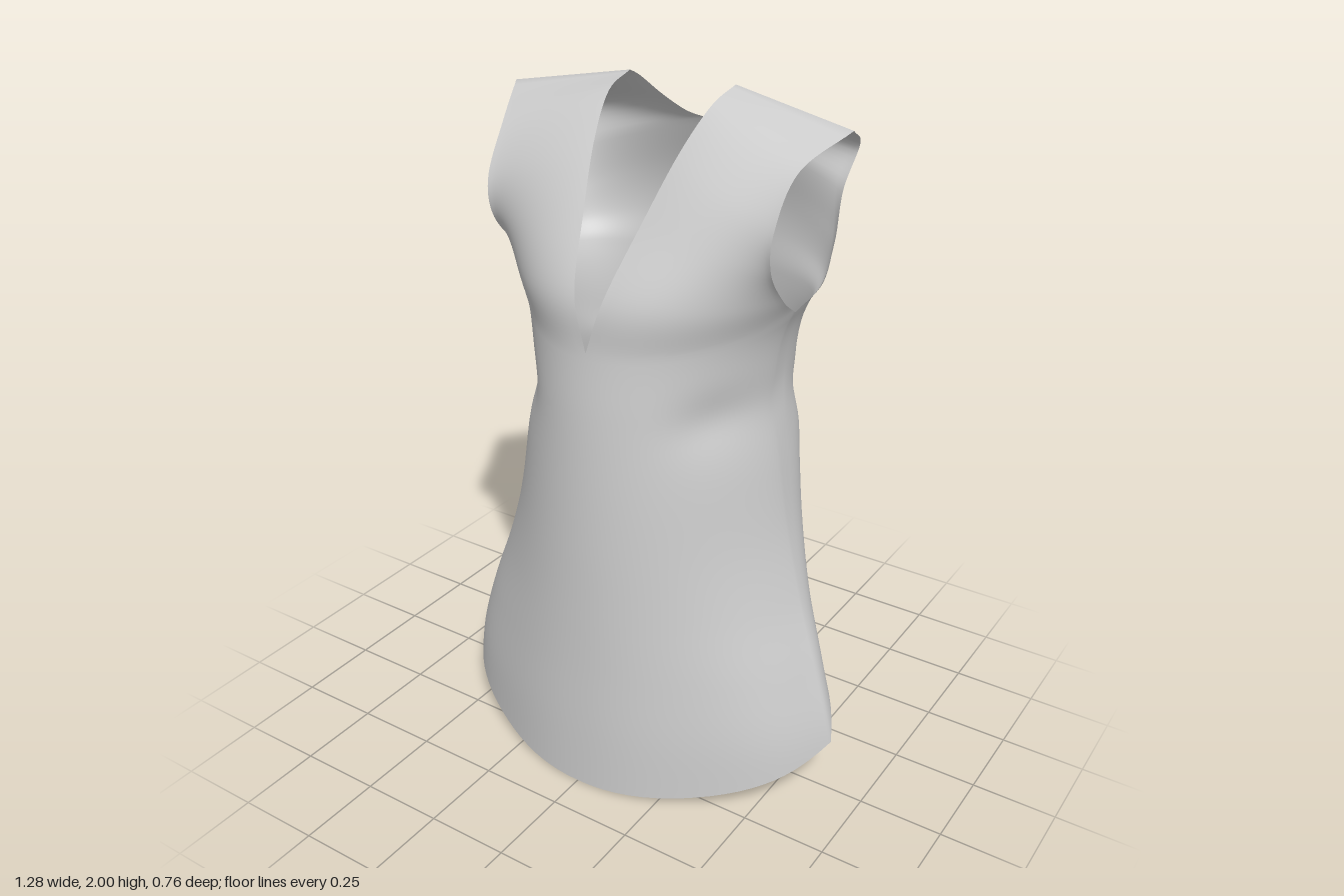
import * as THREE from 'three';
import { mergeGeometries, mergeVertices } from 'three/addons/utils/BufferGeometryUtils.js';

const V = (x, y, z) => new THREE.Vector3(x, y, z);
const curve = pts => new THREE.CatmullRomCurve3(pts.map(p => V(...p)), false, 'catmullrom', 0.5);
const bump = (x, centre, width) => Math.exp(-(((x - centre) / width) ** 2));
const { smoothstep: smooth, lerp } = THREE.MathUtils;

const QUARTER = 24; // columns per quarter turn

// [half width, front z, back z] every 0.2 of height
const rings = curve([
  [0.66, 0.385, -0.33], [0.635, 0.38, -0.33], [0.575, 0.372, -0.34],
  [0.5, 0.366, -0.35], [0.44, 0.36, -0.37], [0.402, 0.35, -0.368],
  [0.375, 0.335, -0.355], [0.395, 0.312, -0.35], [0.5, 0.3, -0.34],
]);

// Neck and armhole edges, from the chest or back up to the shoulder line
const frontNeck = curve([[0, 1.37, 0.32], [0.045, 1.52, 0.3], [0.09, 1.7, 0.19],
  [0.13, 1.86, 0.08], [0.158, 1.965, -0.03], [0.165, 2, -0.14]]);
const frontArm = curve([[0.425, 1.46, -0.04], [0.435, 1.52, 0.05], [0.44, 1.62, 0.135],
  [0.445, 1.73, 0.14], [0.458, 1.86, 0.05], [0.525, 1.938, -0.1]]);
const backArm = curve([[0.425, 1.46, -0.04], [0.435, 1.5, -0.16], [0.43, 1.6, -0.235],
  [0.425, 1.73, -0.275], [0.45, 1.85, -0.305], [0.525, 1.938, -0.1]]);
// The back edge turns a corner from the centre line into the neckline
const backNeck = new THREE.CurvePath();
backNeck.add(curve([[0, 1.46, -0.35], [0, 1.68, -0.335], [0, 1.865, -0.275]]));
backNeck.add(curve([[0, 1.865, -0.275], [0.06, 1.88, -0.262], [0.115, 1.925, -0.225],
  [0.155, 1.98, -0.175], [0.165, 2, -0.14]]));

// Point on the body tube; angle 0 is the front, v runs from hem to underarm
function body(angle, v) {
  const s = Math.sin(angle), c = Math.cos(angle), front = c >= 0, a = Math.abs(c);
  const hem = front ? 0.17 * (1 - a ** 1.4) : 0.17 + 0.39 * a ** 0.9;
  const top = front ? 1.46 - 0.09 * a : 1.46;
  const y = hem + (top - hem) * v;
  const ring = rings.getPoint(y / 1.6);
  const seam = -0.04 * smooth(y, 0.2, 0.8);
  // Flared wings at the hem, a fuller section higher up
  const rise = smooth(v, 0, 0.7);
  const depth = a ** (front ? lerp(1.5, 1.25, rise) : lerp(1.3, 0.7, rise));
  const p = V(ring.x * s, y, seam + ((front ? ring.y : ring.z) - seam) * depth);
  // Soft folds: sagging gathers at the back waist, dents under the bust, skirt ripples
  let push = 0;
  if (!front) {
    const sag = y + 0.2 * depth;
    push += depth * (0.008 * bump(sag, 1.17, 0.06) - 0.01 * bump(sag, 1.29, 0.05));
  } else {
    push -= 0.02 * bump(y, 1.2, 0.09) * bump(Math.abs(s), 0.8, 0.2);
  }
  push += 0.006 * Math.cos(7 * angle) * (1 - smooth(y, 0.2, 0.9)) * Math.abs(s);
  push *= 1 - smooth(v, 0.8, 1);
  p.x += push * s;
  p.z += push * c;
  return p;
}

// Point on an upper panel; s runs from neck to armhole, t up to the shoulder
function panel(neck, arm, back, s, t) {
  const base = body(back ? Math.PI - s * Math.PI / 2 : s * Math.PI / 2, 1);
  const bow = base.sub(neck.getPoint(0).lerp(arm.getPoint(0), s));
  return neck.getPoint(t).lerp(arm.getPoint(t), s).addScaledVector(bow, Math.pow(1 - t, 1.5));
}

// Grid surface from a function of (u, v)
function grid(fn, nu, nv, flip) {
  const pos = [], index = [];
  for (let j = 0; j <= nv; j++)
    for (let i = 0; i <= nu; i++) {
      const p = fn(i / nu, j / nv);
      pos.push(p.x + 0.012 * smooth(p.y, 0.3, 1), p.y, p.z);
    }
  for (let j = 0; j < nv; j++)
    for (let i = 0; i < nu; i++) {
      const a = j * (nu + 1) + i, b = a + 1, d = a + nu + 1, c = d + 1;
      index.push(...(flip ? [a, c, b, a, d, c] : [a, b, c, a, c, d]));
    }
  const g = new THREE.BufferGeometry();
  g.setAttribute('position', new THREE.Float32BufferAttribute(pos, 3));
  g.setIndex(index);
  return g;
}

export function createModel() {
  const group = new THREE.Group();
  group.name = 'sleevelessTunic';

  // Skirt and waist tube
  const parts = [grid((u, v) => body(u * Math.PI * 2, v), QUARTER * 4, 70, false)];

  // Front and back shoulder panels on both sides
  for (const side of [1, -1])
    for (const back of [false, true]) {
      const neck = back ? backNeck : frontNeck, arm = back ? backArm : frontArm;
      parts.push(grid((s, t) => {
        const p = panel(neck, arm, back, s, t);
        p.x *= side;
        return p;
      }, QUARTER, 36, (side < 0) !== back));
    }

  // Weld the panels into one smooth cloth
  const cloth = mergeVertices(mergeGeometries(parts), 1e-4);
  cloth.computeVertexNormals();
  const mesh = new THREE.Mesh(cloth, new THREE.MeshStandardMaterial({
    color: 0xcccccc, side: THREE.DoubleSide,
  }));
  mesh.name = 'tunicCloth';
  group.add(mesh);
  return group;
}
